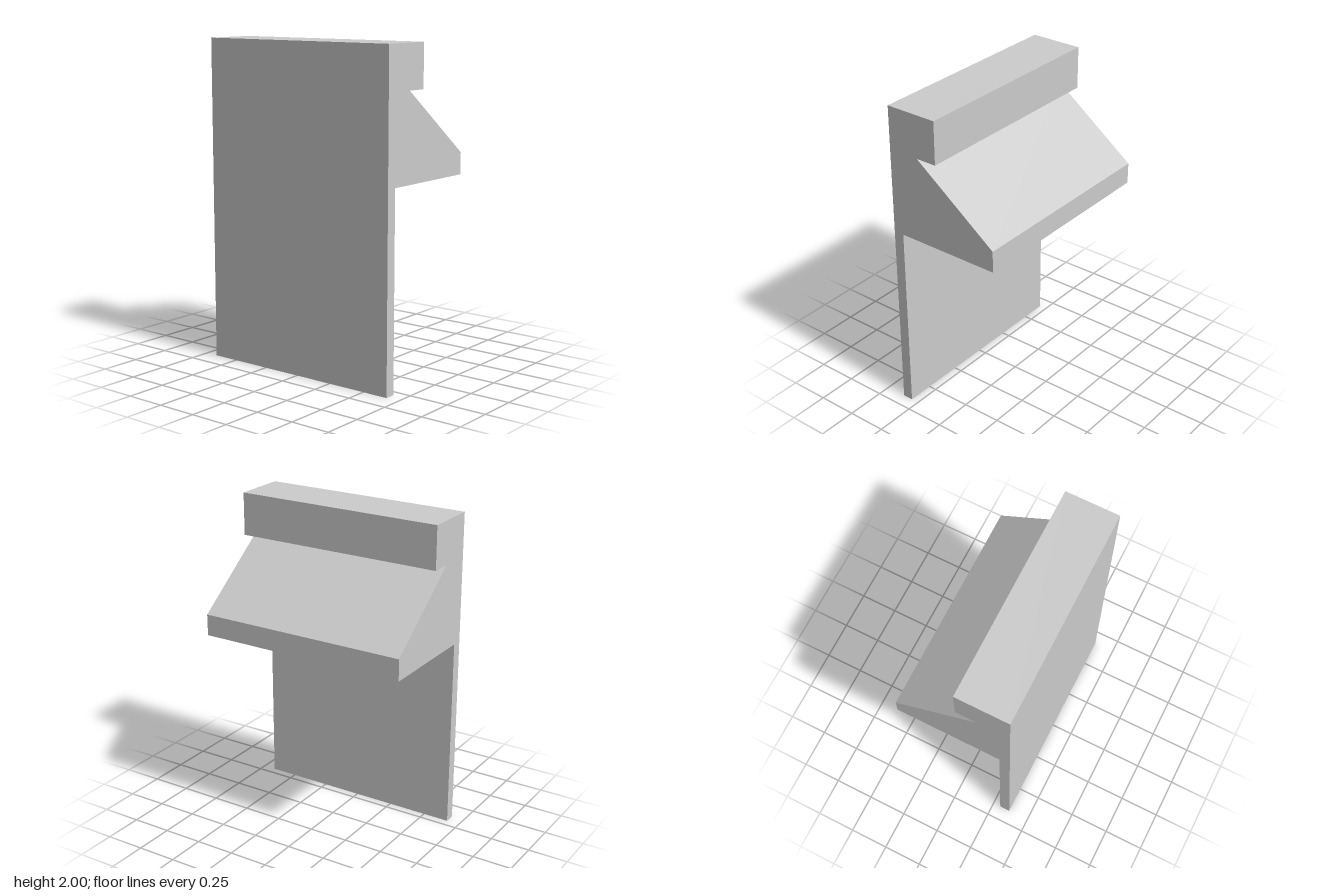
import * as THREE from 'three';

const HALF = 0.6667; // half of the length along z
const SKIN = 0.0133; // thickness of the hood's sheet

// Extrude an x/y profile along z, from z0 to z1
function prism(name, points, z0, z1, material) {
  const shape = new THREE.Shape(points.map(([x, y]) => new THREE.Vector2(x, y)));
  const geometry = new THREE.ExtrudeGeometry(shape, { depth: z1 - z0, bevelEnabled: false });
  geometry.translate(0, 0, z0);
  const mesh = new THREE.Mesh(geometry, material);
  mesh.name = name;
  return mesh;
}

export function createModel() {
  const model = new THREE.Group();
  model.name = 'hoodedWallSection';
  const grey = new THREE.MeshStandardMaterial({ color: 0xcccccc });
  grey.name = 'lightGrey';

  // Thin wall with a thick head along its top
  model.add(prism('wall', [
    [-0.3667, 0], [-0.3, 0], [-0.3, 1.7333], [-0.0333, 1.7333], [-0.0333, 2], [-0.3667, 2],
  ], -HALF, HALF, grey));

  // Sloping hood: a hollow sheet shell, open underneath
  const hood = new THREE.Group();
  hood.name = 'hood';
  const outer = [[-0.3, 1.2], [-0.3, 1.7333], [-0.1667, 1.7333], [0.3667, 1.3333], [0.3667, 1.2]];
  const inner = [[0.3533, 1.2], [0.3533, 1.3266], [-0.171, 1.72], [-0.2867, 1.72], [-0.2867, 1.2]];
  hood.add(prism('hoodShell', [...outer, ...inner], -HALF + SKIN, HALF - SKIN, grey));

  // End plates closing the hood
  hood.add(prism('hoodFrontEnd', outer, HALF - SKIN, HALF, grey));
  hood.add(prism('hoodBackEnd', outer, -HALF, -HALF + SKIN, grey));
  model.add(hood);

  return model;
}
